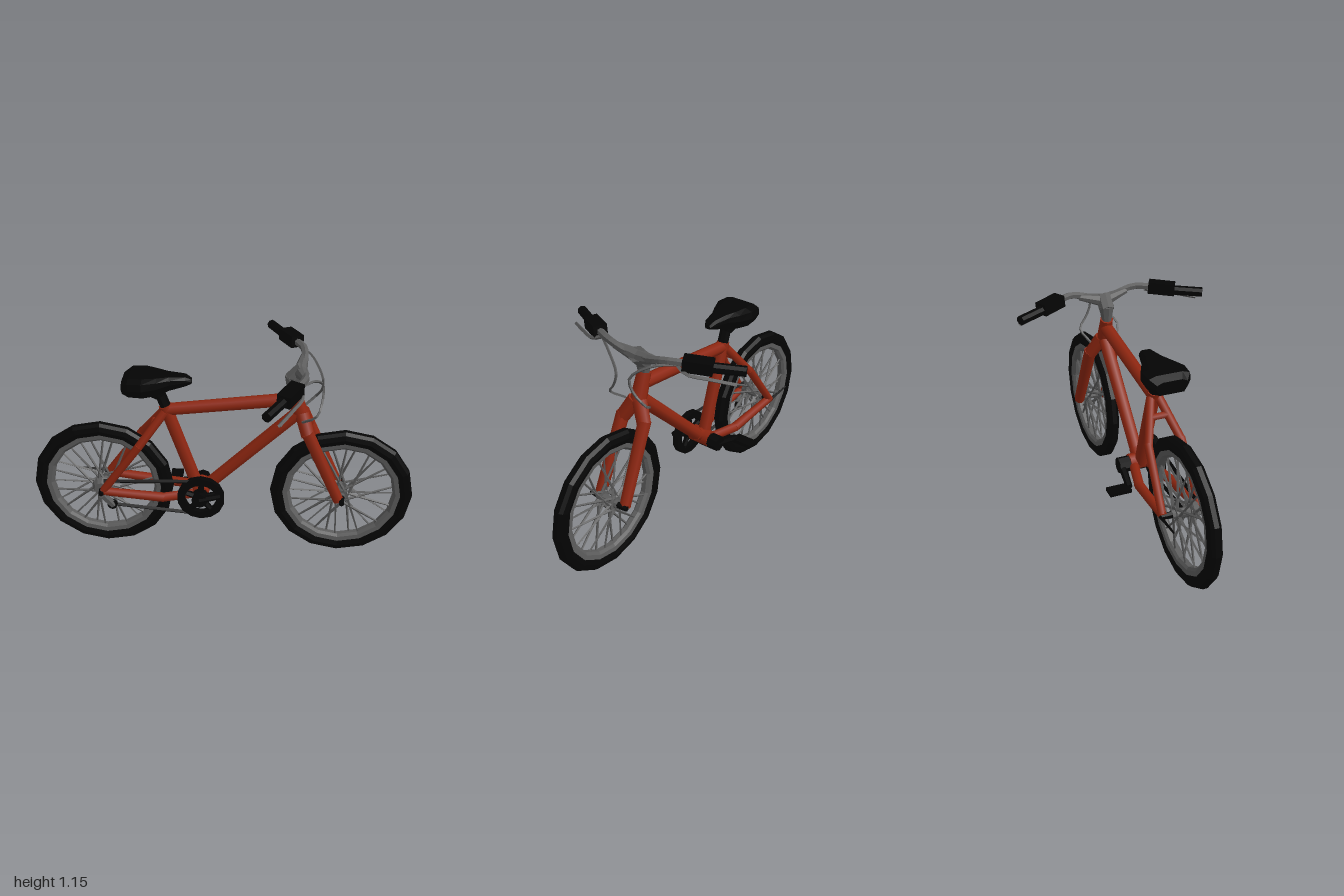
import * as THREE from 'three';

const mat = (name, color, flatShading = true) => {
  const m = new THREE.MeshStandardMaterial({ color, flatShading, side: THREE.DoubleSide });
  m.name = name;
  return m;
};
const V = (p) => new THREE.Vector3(...p);

export function createModel() {
  const red = mat('frameRed', 0x8e2610, false);
  const black = mat('rubberBlack', 0x040404);
  const grey = mat('metalGrey', 0x5c5c5c);
  const bike = new THREE.Group();
  bike.name = 'bicycle';

  const add = (name, geo, material, pos = [0, 0, 0], parent = bike) => {
    const m = new THREE.Mesh(geo, material);
    m.name = name;
    m.position.set(...pos);
    parent.add(m);
    return m;
  };
  // straight tapered tube between two points
  const rod = (name, a, b, ra, rb, material, sides = 8, parent = bike) => {
    const d = V(b).sub(V(a));
    const m = add(name, new THREE.CylinderGeometry(rb, ra, d.length(), sides), material, [0, 0, 0], parent);
    m.position.copy(V(a)).addScaledVector(d, 0.5);
    m.quaternion.setFromUnitVectors(new THREE.Vector3(0, 1, 0), d.normalize());
    return m;
  };
  // curved tube through points
  const bend = (name, pts, r, material, segs = 14, sides = 6) =>
    add(name, new THREE.TubeGeometry(new THREE.CatmullRomCurve3(pts.map(V), false, 'centripetal'), segs, r, sides), material);
  // ring from a closed profile of [radius, z], turned to face z
  const ring = (name, profile, segs, material, parent, pos) => {
    const pts = [...profile, profile[0]].map(([r, z]) => new THREE.Vector2(r, z));
    return add(name, new THREE.LatheGeometry(pts, segs).rotateX(Math.PI / 2), material, pos, parent);
  };
  const disc = (name, r, h, sides, material, pos, parent = bike) =>
    add(name, new THREE.CylinderGeometry(r, r, h, sides).rotateX(Math.PI / 2), material, pos, parent);
  // solid lofted along x from [x, halfWidth, yBottom, yTop]
  const loft = (name, sections, material) => {
    const pos = [], idx = [], n = 8;
    for (const [x, w, y0, y1] of sections) {
      const mid = y0 + (y1 - y0) * 0.5;
      const half = [[y1, 0.6], [y1 - 0.012, 0.95], [mid, 1], [y0, 0.75]];
      for (const [y, k] of half) pos.push(x, y, w * k);
      for (const [y, k] of half.slice().reverse()) pos.push(x, y, -w * k);
    }
    for (let i = 0; i < sections.length - 1; i++)
      for (let j = 0; j < n; j++) {
        const a = i * n + j, b = i * n + (j + 1) % n;
        idx.push(a, b, a + n, b, b + n, a + n);
      }
    const e = (sections.length - 1) * n;
    for (let j = 1; j < n - 1; j++) idx.push(0, j + 1, j, e, e + j, e + j + 1);
    const g = new THREE.BufferGeometry();
    g.setAttribute('position', new THREE.Float32BufferAttribute(pos, 3));
    g.setIndex(idx);
    g.computeVertexNormals();
    return add(name, g, material);
  };

  // wheels
  for (const [name, x] of [['frontWheel', 0.631], ['rearWheel', -0.631]]) {
    const w = new THREE.Group();
    w.name = name;
    w.position.set(x, 0.376, 0.008);
    bike.add(w);
    ring('tire', [[0.308, -0.026], [0.335, -0.035], [0.36, -0.028], [0.373, -0.012], [0.373, 0.012],
      [0.36, 0.028], [0.335, 0.035], [0.308, 0.026]], 16, black, w);
    ring('rim', [[0.272, -0.012], [0.285, -0.024], [0.315, -0.027], [0.315, 0.027], [0.285, 0.024], [0.272, 0.012]], 16, grey, w);
    disc('hub', 0.022, 0.12, 8, grey, [0, 0, 0], w);
    for (const s of [-1, 1]) {
      disc('hubFlange', 0.038, 0.01, 10, grey, [0, 0, s * 0.038], w);
      for (let i = 0; i < 14; i++) {
        const a = (i + (s > 0 ? 0.4 : 0)) / 14 * Math.PI * 2;
        const h = a + (i % 2 ? 0.9 : -0.9);
        rod('spoke', [0.033 * Math.cos(h), 0.033 * Math.sin(h), s * 0.038],
          [0.278 * Math.cos(a), 0.278 * Math.sin(a), s * 0.006], 0.008, 0.005, grey, 4, w);
      }
      rod('axleNut', [0, 0, s * 0.06], [0, 0, s * 0.115], 0.018, 0.014, black, 6, w);
    }
  }

  // main frame tubes
  rod('topTube', [-0.285, 0.835, 0], [0.355, 0.92, 0], 0.033, 0.035, red);
  rod('downTube', [-0.06, 0.4, 0], [0.39, 0.85, 0], 0.034, 0.036, red);
  rod('seatTube', [-0.125, 0.36, 0], [-0.29, 0.86, 0], 0.034, 0.034, red);
  rod('headTube', [0.405, 0.82, 0], [0.35, 0.975, 0], 0.042, 0.035, red);
  rod('bottomBracketTube', [-0.06, 0.4, 0], [-0.125, 0.36, 0], 0.036, 0.036, red);
  disc('bottomBracket', 0.045, 0.12, 10, red, [-0.11, 0.36, 0]);
  for (const s of [-1, 1]) {
    rod('seatStay', [-0.62, 0.385, s * 0.096], [-0.42, 0.66, s * 0.086], 0.021, 0.022, red);
    rod('seatStayTop', [-0.43, 0.645, s * 0.087], [-0.29, 0.83, s * 0.02], 0.022, 0.023, red);
    rod('chainStay', [-0.635, 0.38, s * 0.095], [-0.3, 0.345, s * 0.082], 0.022, 0.026, red);
    rod('chainStayFront', [-0.31, 0.345, s * 0.083], [-0.11, 0.355, s * 0.035], 0.026, 0.026, red);
    // fork
    rod('forkCrown', [0.405, 0.845, s * 0.012], [0.44, 0.745, s * 0.067], 0.039, 0.036, red);
    rod('forkLeg', [0.435, 0.765, s * 0.067], [0.615, 0.37, s * 0.08], 0.034, 0.029, red);
  }
  rod('stayBridge', [-0.35, 0.755, -0.05], [-0.35, 0.755, 0.05], 0.018, 0.018, red, 6);

  // saddle
  loft('saddle', [[-0.495, 0.08, 0.95, 1.015], [-0.46, 0.108, 0.942, 1.036], [-0.39, 0.113, 0.94, 1.038],
    [-0.32, 0.085, 0.945, 1.036], [-0.26, 0.055, 0.965, 1.036], [-0.18, 0.036, 0.985, 1.032],
    [-0.15, 0.018, 0.993, 1.015]], black);
  rod('saddleClamp', [-0.31, 0.915, 0], [-0.34, 0.96, 0], 0.032, 0.06, black);
  rod('seatPost', [-0.283, 0.845, 0], [-0.315, 0.935, 0], 0.029, 0.029, black);

  // drivetrain
  ring('chainRing', [[0.085, 0.068], [0.125, 0.068], [0.125, 0.1], [0.085, 0.1]], 14, black, bike, [-0.105, 0.355, 0]);
  disc('crankHub', 0.042, 0.24, 8, black, [-0.11, 0.355, 0]);
  for (let i = 0; i < 5; i++) {
    const a = i / 5 * Math.PI * 2 + 0.3;
    rod('chainRingArm', [-0.105, 0.355, 0.083], [-0.105 + 0.1 * Math.cos(a), 0.355 + 0.1 * Math.sin(a), 0.083], 0.018, 0.015, black, 6);
  }
  rod('chainUpper', [-0.1, 0.455, 0.083], [-0.62, 0.43, 0.075], 0.011, 0.011, black, 4);
  rod('chainLower', [-0.12, 0.25, 0.083], [-0.58, 0.285, 0.075], 0.011, 0.011, black, 4);
  rod('cassette', [-0.633, 0.376, 0.045], [-0.633, 0.376, 0.08], 0.058, 0.04, grey, 12);
  rod('derailleurCage', [-0.625, 0.36, 0.1], [-0.575, 0.285, 0.085], 0.024, 0.02, grey, 6);
  disc('derailleurWheel', 0.027, 0.02, 8, black, [-0.58, 0.29, 0.085]);
  rod('quickRelease', [-0.633, 0.38, -0.11], [-0.78, 0.39, -0.108], 0.01, 0.005, black, 4);
  rod('crankRight', [-0.11, 0.355, 0.108], [0, 0.385, 0.108], 0.02, 0.015, black, 6);
  rod('crankLeft', [-0.11, 0.355, -0.1], [-0.26, 0.315, -0.118], 0.022, 0.017, black, 6);
  add('pedal', new THREE.BoxGeometry(0.065, 0.02, 0.115), black, [-0.262, 0.313, -0.175]);

  // stem and handlebar
  rod('stem', [0.352, 0.965, 0], [0.352, 1.05, 0], 0.026, 0.042, grey);
  rod('stemHead', [0.345, 1.03, 0], [0.4, 1.09, 0], 0.042, 0.042, grey);
  for (const s of [-1, 1]) {
    rod('stemWing', [0.385, 1.07, 0], [0.405, 1.1, s * 0.13], 0.036, 0.018, grey);
    bend('handlebar', [[0.39, 1.08, 0], [0.405, 1.09, s * 0.07], [0.405, 1.116, s * 0.17],
      [0.37, 1.115, s * 0.25], [0.31, 1.1, s * 0.36]], 0.019, grey, 10);
    rod('grip', [0.318, 1.103, s * 0.34], [0.232, 1.097, s * 0.5], 0.025, 0.025, black);
    const shifter = add('shifter', new THREE.BoxGeometry(0.07, 0.06, 0.14), black, [0.338, 1.112, s * 0.31]);
    shifter.rotation.set(s * 0.08, -s * 0.48, 0);
    bend('brakeLever', [[0.385, 1.1, s * 0.23], [0.395, 1.08, s * 0.28], [0.35, 1.067, s * 0.38],
      [0.29, 1.05, s * 0.49]], 0.01, grey, 8, 4);
    bend('brakeCable', [[0.385, 1.105, s * 0.23], [0.45, 1.09, s * 0.13], [0.5, 1.02, s * 0.04],
      [0.5, 0.95, s * 0.06], [0.475, 0.885, s * 0.108], [0.405, 0.83, s * 0.075]], 0.007, grey, 16, 4);
  }
  return bike;
}
